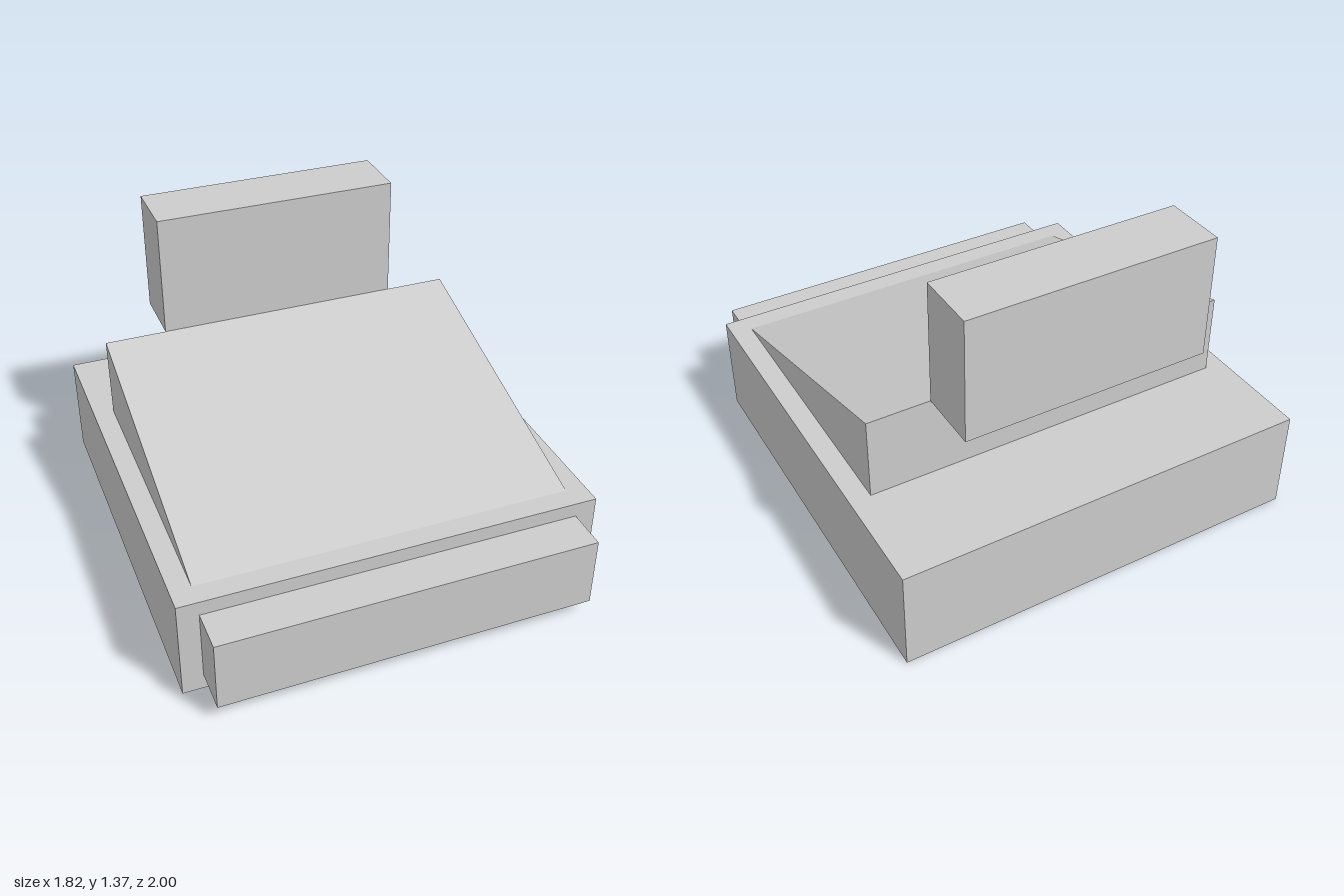
import * as THREE from 'three';

const grey = new THREE.MeshStandardMaterial({ color: 0xcccccc, side: THREE.DoubleSide });
grey.name = 'plain grey';

// Sides of a box, in the order BoxGeometry builds them
const BOTTOM = 3, BACK = 5;

// Thin-walled box between two corners, with one side left open
function openBox(name, [x0, y0, z0], [x1, y1, z1], openSide) {
  const geometry = new THREE.BoxGeometry(x1 - x0, y1 - y0, z1 - z0);
  const index = Array.from(geometry.index.array);
  index.splice(openSide * 6, 6);
  geometry.setIndex(index);
  geometry.clearGroups();
  geometry.translate((x0 + x1) / 2, (y0 + y1) / 2, (z0 + z1) / 2);
  const mesh = new THREE.Mesh(geometry, grey);
  mesh.name = name;
  return mesh;
}

// Wedge that rises from the front to a tall back face
function slopedWedge() {
  const profile = new THREE.Shape();
  profile.moveTo(-0.725, 0.456); // profile x runs towards the back
  profile.lineTo(0.545, 0.456);
  profile.lineTo(0.545, 0.82);
  profile.closePath();
  const geometry = new THREE.ExtrudeGeometry(profile, { depth: 1.636, bevelEnabled: false });
  geometry.translate(0, 0, -0.818);
  geometry.rotateY(Math.PI / 2);
  const mesh = new THREE.Mesh(geometry, grey);
  mesh.name = 'slopedWedge';
  return mesh;
}

export function createModel() {
  const model = new THREE.Group();
  model.name = 'model';
  model.add(
    openBox('base', [-0.908, 0, -1], [0.908, 0.455, 0.818], BOTTOM),
    openBox('frontPanel', [-0.818, 0.07, 0.818], [0.818, 0.39, 1], BACK),
    slopedWedge(),
    openBox('uprightBlock', [-0.545, 0.82, -0.82], [0.545, 1.365, -0.545], BOTTOM),
  );
  return model;
}
